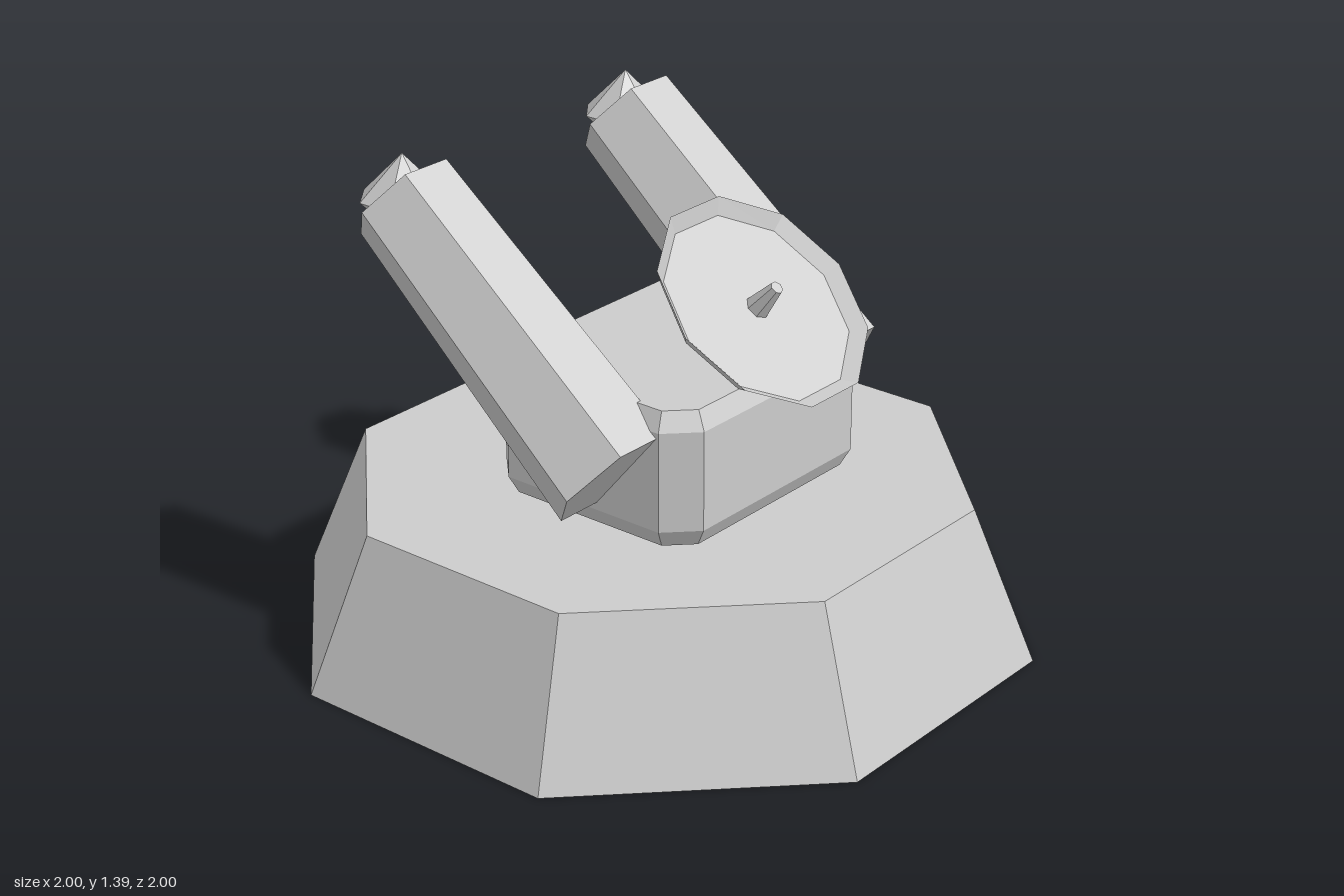
import * as THREE from 'three';

const paint = new THREE.MeshStandardMaterial({ color: 0xcccccc });
paint.name = 'light grey';

// Faceted mesh: every face keeps its own normal
function part(name, geometry, parent) {
  const flat = geometry.index ? geometry.toNonIndexed() : geometry;
  flat.computeVertexNormals();
  const mesh = new THREE.Mesh(flat, paint);
  mesh.name = name;
  parent.add(mesh);
  return mesh;
}

// Box outline with cut corners
function cutRectangle(hx, hy, cut) {
  const s = new THREE.Shape();
  s.moveTo(hx, -hy + cut);
  s.lineTo(hx, hy - cut);
  s.lineTo(hx - cut, hy);
  s.lineTo(-hx + cut, hy);
  s.lineTo(-hx, hy - cut);
  s.lineTo(-hx, -hy + cut);
  s.lineTo(-hx + cut, -hy);
  s.lineTo(hx - cut, -hy);
  s.closePath();
  return s;
}

export function createModel() {
  const model = new THREE.Group();
  model.name = 'turret';

  // Octagonal base, flat sides facing the axes
  const k = 1 / Math.cos(Math.PI / 8);
  const base = part('base', new THREE.CylinderGeometry(0.83 * k, k, 0.443, 8).rotateY(Math.PI / 8), model);
  base.position.y = 0.2215;

  // Bevelled turret body
  const bevel = 0.053, inset = 0.028;
  const body = part('body', new THREE.ExtrudeGeometry(
    cutRectangle(0.415 - inset, 0.353 - inset, 0.069),
    { depth: 0.395 - 2 * bevel, bevelThickness: bevel, bevelSize: inset, bevelSegments: 1 }
  ).rotateX(-Math.PI / 2), model);
  body.position.set(0, 0.455 + bevel, 0.064);

  // Tapered hexagonal barrels with a faceted tip
  const low = new THREE.Vector3(0, 0.655, 0.22);
  const high = new THREE.Vector3(0, 1.27, -0.52);
  const axis = high.clone().sub(low);
  for (const [side, sign] of [['left', 1], ['right', -1]]) {
    const barrel = part(side + 'Barrel',
      new THREE.CylinderGeometry(0.159, 0.188, axis.length(), 6).rotateY(Math.PI / 2), model);
    barrel.position.copy(low).add(high).multiplyScalar(0.5).setX(0.465 * sign);
    barrel.rotation.x = Math.atan2(axis.z, axis.y);
    // Ensure a corner of the hexagon points sideways
    barrel.geometry.rotateY(Math.PI / 2);
    barrel.geometry.rotateY(Math.PI / 2);
    const tip = part(side + 'BarrelTip', new THREE.SphereGeometry(0.125, 7, 2).rotateY(Math.PI), model);
    tip.position.copy(high).setX(0.465 * sign);
  }

  // Tilted ten-sided dish with a recessed face
  const dish = new THREE.Group();
  dish.name = 'dish';
  dish.position.set(0, 1.05, 0.357);
  dish.rotation.x = 0.714;
  const profile = [
    [0, -0.12], [0.126, -0.112], [0.21, -0.082], [0.295, -0.047],
    [0.335, 0], [0.295, -0.034], [0, -0.034],
  ].map(([r, y]) => new THREE.Vector2(r, y));
  part('dishBowl', new THREE.LatheGeometry(profile, 10, Math.PI / 2), dish);
  const feed = part('dishFeed', new THREE.CylinderGeometry(0.019, 0.037, 0.1, 7), dish);
  feed.position.y = 0.012;
  model.add(dish);

  return model;
}
